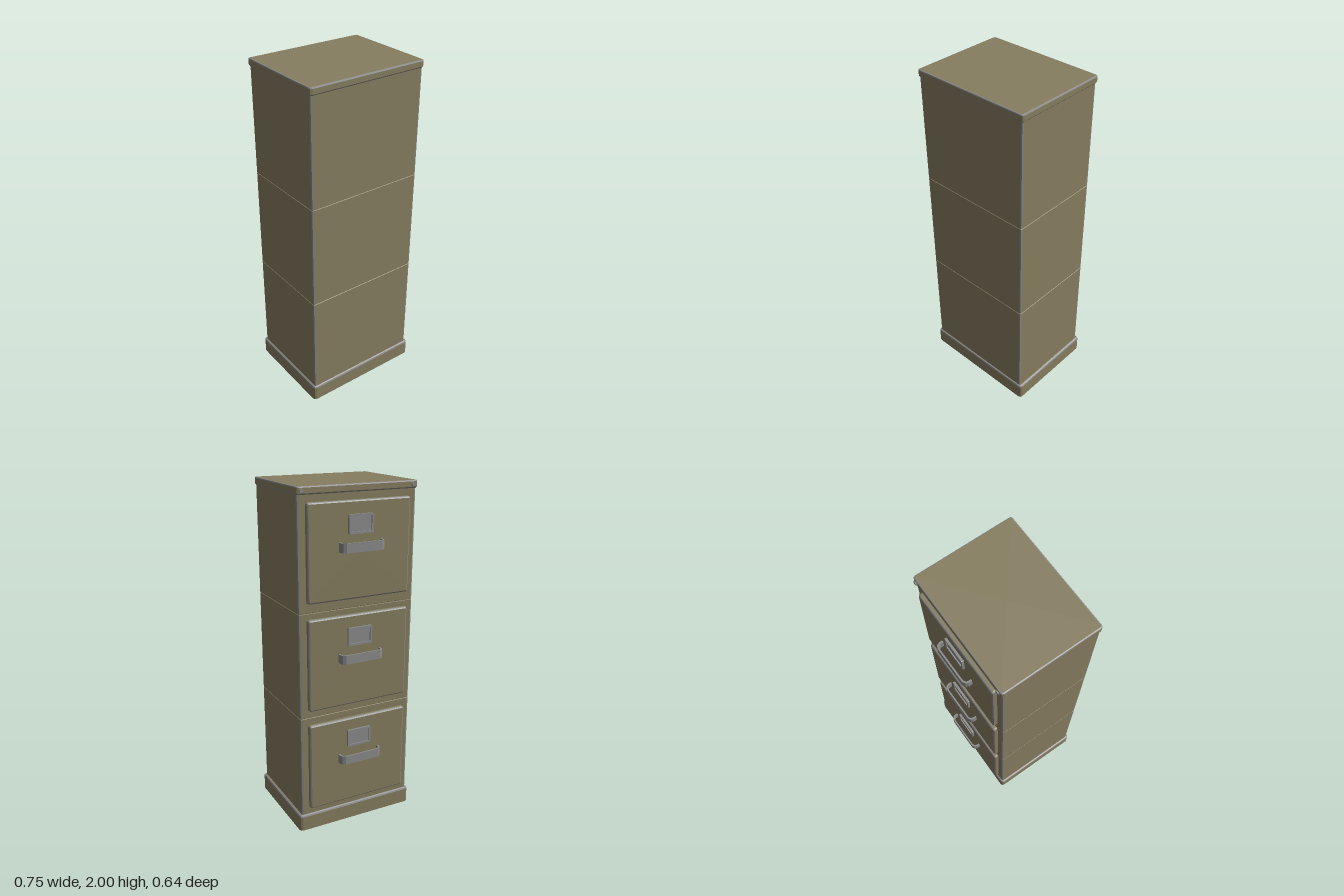
import * as THREE from 'three';

const olive = new THREE.MeshStandardMaterial({ color: 0x877e60 });
olive.name = 'olive paint';
const grey = new THREE.MeshStandardMaterial({ color: 0x8c8c8c });
grey.name = 'bare steel';
const OLIVE = 0, GREY = 1;

// Rounded rectangle at height y, counter-clockwise from above
function ring(w, d, r, inset, y) {
  const hw = w / 2 - inset, hd = d / 2 - inset, rr = Math.max(r - inset, 0.002);
  const pts = [];
  for (let q = 0; q < 4; q++) {
    const sx = q === 0 || q === 3 ? 1 : -1, sz = q < 2 ? -1 : 1;
    for (let k = 0; k <= 2; k++) {
      const a = (q + k / 2) * Math.PI / 2;
      pts.push(new THREE.Vector3(sx * (hw - rr) + rr * Math.cos(a), y, sz * (hd - rr) - rr * Math.sin(a)));
    }
  }
  return pts;
}

// Stack of rounded rectangles; levels are [inset, y, colour of the band above, corner colour]
function stack(name, w, d, r, levels, capStart, capEnd) {
  const faces = [[], []];
  const tri = (c, ...p) => p.forEach(v => faces[c].push(v.x, v.y, v.z));
  const rings = levels.map(l => ring(w, d, r, l[0], l[1]));
  for (let i = 0; i < rings.length - 1; i++) {
    const lo = rings[i], hi = rings[i + 1], [, , side = OLIVE, corner = side] = levels[i];
    lo.forEach((p, j) => {
      const n = (j + 1) % lo.length, c = j % 3 === 2 ? side : corner;
      tri(c, p, lo[n], hi[n]);
      tri(c, p, hi[n], hi[j]);
    });
  }
  const cap = (pts, up) => pts.forEach((p, j) => {
    const n = pts[(j + 1) % pts.length], m = new THREE.Vector3(0, p.y, 0);
    if (up) tri(OLIVE, m, p, n); else tri(OLIVE, m, n, p);
  });
  if (capStart) cap(rings[0], false);
  if (capEnd) cap(rings[rings.length - 1], true);
  const geo = new THREE.BufferGeometry();
  geo.setAttribute('position', new THREE.Float32BufferAttribute(faces[0].concat(faces[1]), 3));
  geo.addGroup(0, faces[0].length / 3, OLIVE);
  geo.addGroup(faces[0].length / 3, faces[1].length / 3, GREY);
  geo.computeVertexNormals();
  const mesh = new THREE.Mesh(geo, [olive, grey]);
  mesh.name = name;
  return mesh;
}

// Bent strap handle
function makeHandle() {
  const s = new THREE.Shape();
  const outer = [[-0.132, 0], [-0.132, 0.02], [-0.125, 0.036], [-0.108, 0.045],
    [0.108, 0.045], [0.125, 0.036], [0.132, 0.02], [0.132, 0]];
  const inner = [[0.122, 0], [0.122, 0.018], [0.117, 0.029], [0.105, 0.036],
    [-0.105, 0.036], [-0.117, 0.029], [-0.122, 0.018], [-0.122, 0]];
  s.setFromPoints([...outer, ...inner].map(p => new THREE.Vector2(...p)));
  const geo = new THREE.ExtrudeGeometry(s, { depth: 0.052, bevelEnabled: false });
  geo.rotateX(-Math.PI / 2);
  const mesh = new THREE.Mesh(geo, grey);
  mesh.name = 'handle';
  return mesh;
}

// Drawer front with label holder and handle, origin at its lower edge
function makeDrawer() {
  const g = new THREE.Group();
  g.name = 'drawer';
  const front = stack('drawerFront', 0.624, 0.534, 0.012,
    [[0, 0], [0, 0.015, GREY], [0.003, 0.021, GREY], [0.009, 0.025]], false, true);
  front.rotation.x = -Math.PI / 2;
  front.position.y = 0.267;
  const frame = stack('labelFrame', 0.15, 0.104, 0.004,
    [[0.012, 0, GREY], [0, 0, GREY], [0, 0.013, GREY], [0.012, 0.013, GREY], [0.012, 0, GREY]]);
  frame.rotation.x = -Math.PI / 2;
  frame.position.set(0, 0.41, -0.025);
  const card = new THREE.Mesh(new THREE.BoxGeometry(0.128, 0.082, 0.006), grey);
  card.name = 'labelCard';
  card.position.set(0, 0.41, -0.028);
  const handle = makeHandle();
  handle.position.set(-0.002, 0.266, -0.025);
  g.add(front, frame, card, handle);
  return g;
}

export function createModel() {
  const model = new THREE.Group();
  model.name = 'filingCabinet';

  // Open plinth
  const base = stack('base', 0.746, 0.582, 0.018, [[0.025, 0.1], [0.025, 0], [0, 0],
    [0, 0.088, GREY], [0.003, 0.096, GREY], [0.011, 0.1], [0.025, 0.1]]);
  base.position.z = 0.029;

  // Hollow carcass with two fine seams between the sections
  const levels = [[0.02, 1.93], [0.02, 0.1], [0, 0.1, OLIVE, GREY]];
  for (const y of [0.717, 1.33]) {
    levels.push([0, y - 0.003], [0.003, y - 0.001], [0.003, y + 0.001], [0, y + 0.003, OLIVE, GREY]);
  }
  levels.push([0, 1.96]);
  const body = stack('body', 0.716, 0.56, 0.01, levels, true, true);
  body.position.set(-0.002, 0, 0.03);

  // Lid
  const lid = stack('lid', 0.728, 0.576, 0.014, [[0.006, 1.957, GREY], [0, 1.964],
    [0, 1.993, GREY], [0.002, 1.998, GREY], [0.007, 2]], true, true);
  lid.position.set(-0.002, 0, 0.028);
  model.add(base, body, lid);

  // Small studs at the lid corners
  for (const s of [-1, 1]) {
    const stud = new THREE.Mesh(new THREE.CylinderGeometry(0.011, 0.013, 0.008, 12), grey);
    stud.name = 'lidStud';
    stud.rotation.x = -Math.PI / 2;
    stud.position.set(s * 0.335, 1.978, -0.263);
    model.add(stud);
  }

  for (const y of [0.14, 0.762, 1.384]) {
    const drawer = makeDrawer();
    drawer.position.set(-0.002, y, -0.25);
    model.add(drawer);
  }
  return model;
}
